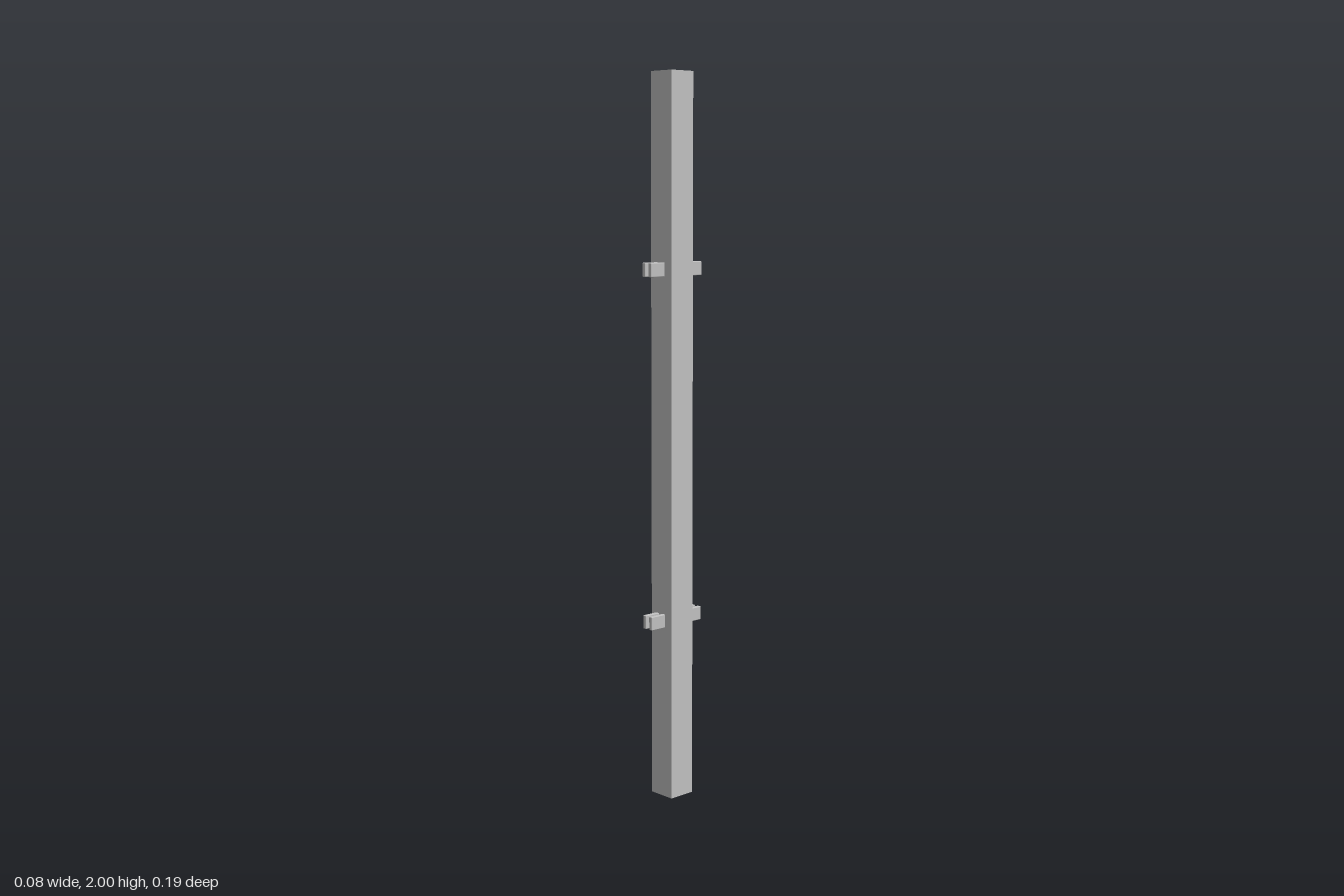
import * as THREE from 'three';
import { RoundedBoxGeometry } from 'three/addons/geometries/RoundedBoxGeometry.js';

export function createModel() {
  const model = new THREE.Group();
  model.name = 'fencePost';

  const metal = new THREE.MeshStandardMaterial({ color: 0xc0c0c0 });
  metal.name = 'light grey metal';

  // Square upright post
  const post = new THREE.Mesh(new THREE.BoxGeometry(0.08, 2, 0.08), metal);
  post.name = 'post';
  post.position.set(0, 1, 0.001);
  model.add(post);

  // Paired bracket plates, front and back, at two heights
  const plate = new RoundedBoxGeometry(0.012, 0.038, 0.05, 2, 0.002);
  for (const y of [0.507, 1.475]) {
    for (const side of [1, -1]) {
      const bracket = new THREE.Group();
      bracket.name = side > 0 ? 'frontBracket' : 'backBracket';
      bracket.position.set(0, y, side * 0.069);
      for (const x of [-0.012, 0.012]) {
        const mesh = new THREE.Mesh(plate, metal);
        mesh.name = 'bracketPlate';
        mesh.position.x = x;
        bracket.add(mesh);
      }
      model.add(bracket);
    }
  }
  return model;
}
